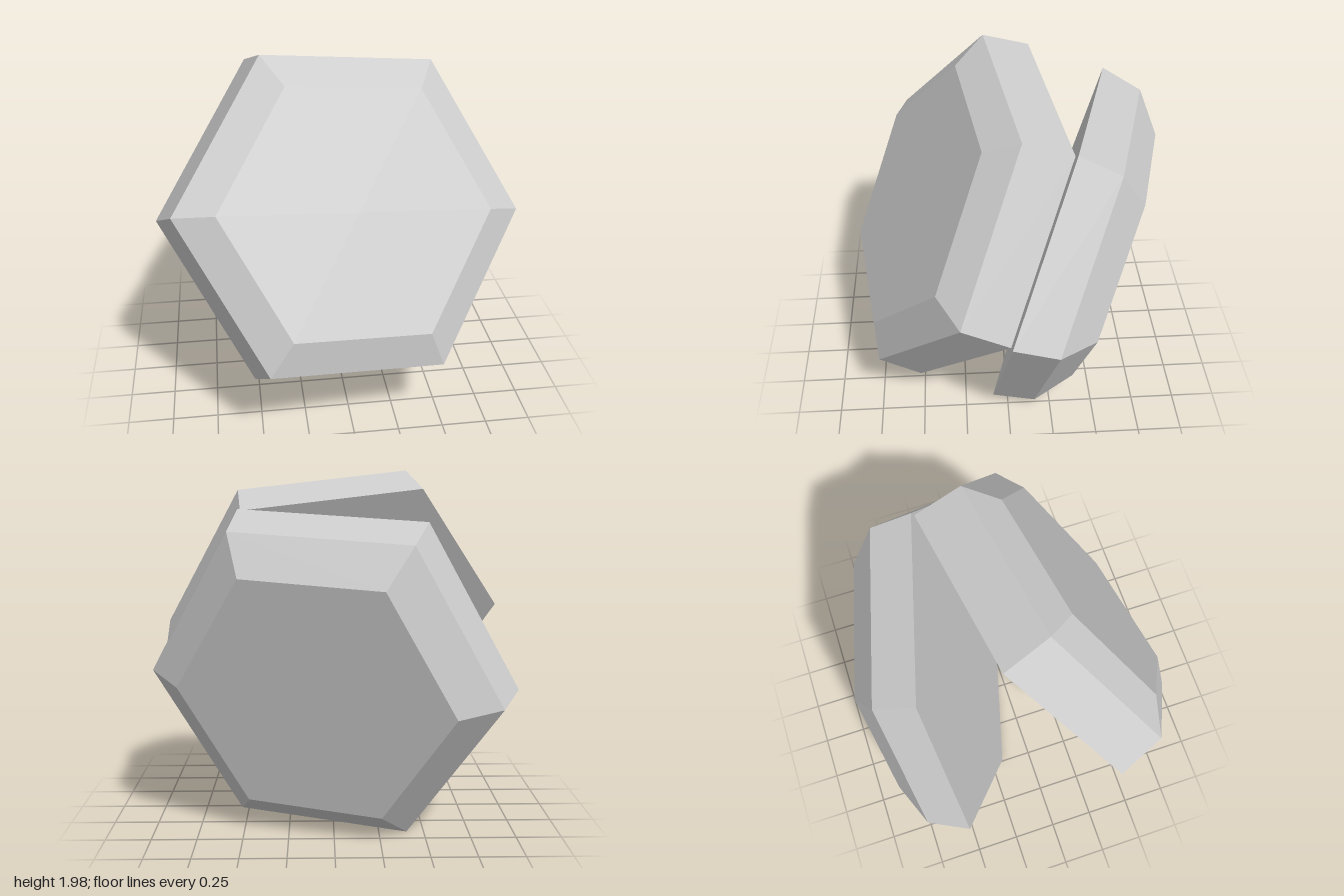
import * as THREE from 'three';

const grey = new THREE.MeshStandardMaterial({ color: 0xcccccc, flatShading: true });
grey.name = 'plain grey';

// Six-sided bevelled slab: rings are [radius, height] pairs along its facing axis
function hexShell(name, centre, facing, corner, rings) {
  const profile = [[0, 0], ...rings, [0, rings[rings.length - 1][1]]]
    .map(([r, h]) => new THREE.Vector2(r, h));
  const geometry = new THREE.LatheGeometry(profile, 6);

  // Frame with y along the facing axis and z through the first corner
  const y = new THREE.Vector3(...facing).normalize();
  const x = new THREE.Vector3().crossVectors(y, new THREE.Vector3(...corner)).normalize();
  const z = new THREE.Vector3().crossVectors(x, y);

  const mesh = new THREE.Mesh(geometry, grey);
  mesh.name = name;
  mesh.quaternion.setFromRotationMatrix(new THREE.Matrix4().makeBasis(x, y, z));
  mesh.position.set(...centre);
  return mesh;
}

export function createModel() {
  const model = new THREE.Group();
  model.name = 'hinged hexagonal shells';

  // Front half, leaning back
  model.add(hexShell('frontShell', [-0.017, 1.068, 0.17], [0.187, 0.468, 0.864],
    [0.982, -0.11, -0.153], [[1.004, 0], [0.963, 0.282], [0.754, 0.383]]));

  // Rear half, touching the front along one edge
  model.add(hexShell('backShell', [0.007, 0.9, -0.258], [0.267, -0.235, -0.934],
    [0.964, 0.053, 0.262], [[1.02, 0], [0.967, 0.243], [0.753, 0.41]]));

  return model;
}
